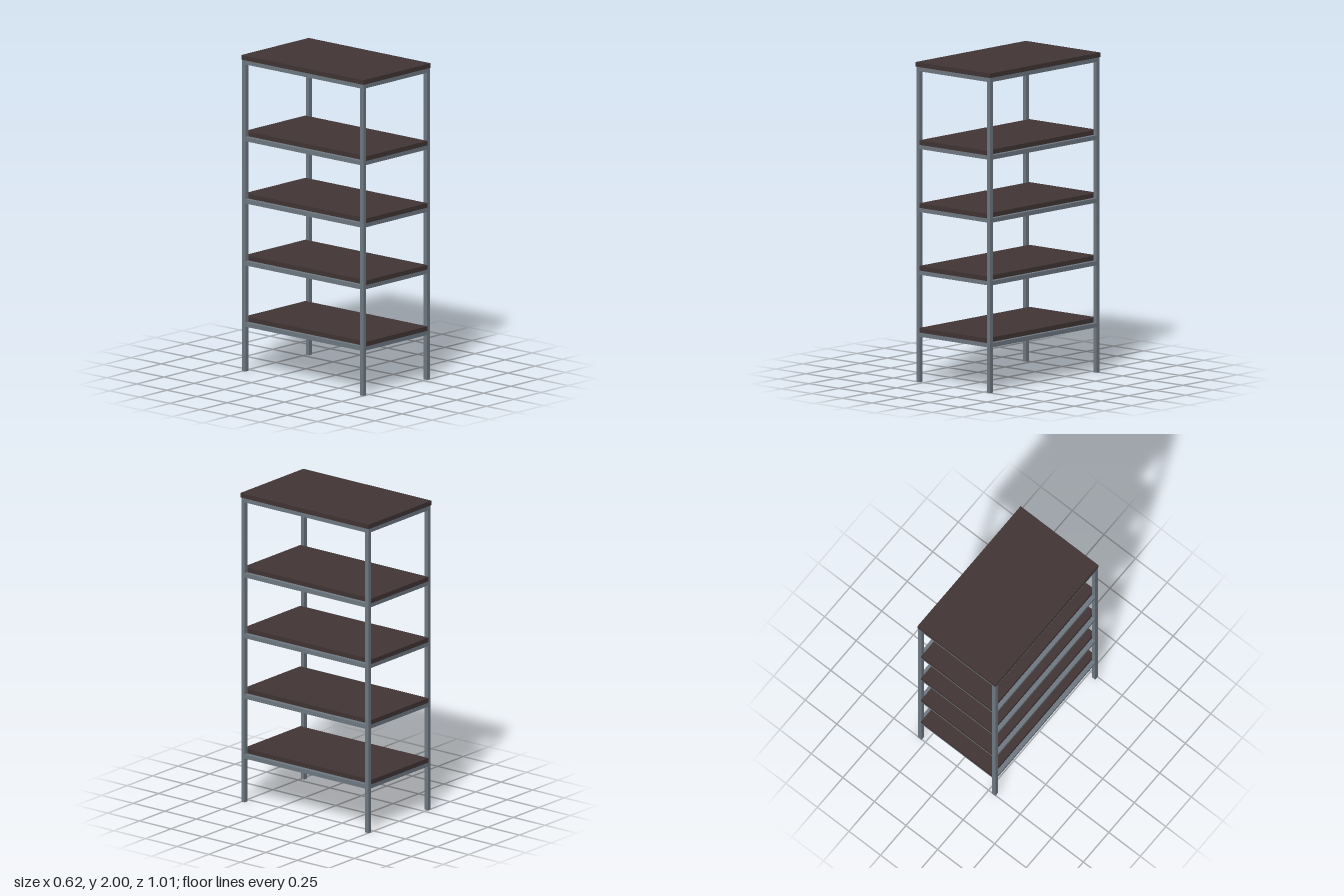
import * as THREE from 'three';

export function createModel() {
  const model = new THREE.Group();
  model.name = 'shelfUnit';

  const metal = new THREE.MeshStandardMaterial({ color: 0x707983 });
  metal.name = 'grey steel';
  const wood = new THREE.MeshStandardMaterial({ color: 0x423535 });
  wood.name = 'dark wood';

  // Box centred on x and z, standing on the given bottom height
  function box(name, material, w, h, d, x, bottom, z) {
    const mesh = new THREE.Mesh(new THREE.BoxGeometry(w, h, d), material);
    mesh.name = name;
    mesh.position.set(x, bottom + h / 2, z);
    model.add(mesh);
  }

  const tube = 0.027;      // square tube width
  const board = 0.029;     // board thickness
  const halfW = 0.306;     // outer frame half width
  const halfD = 0.503;     // outer frame half depth
  const postX = halfW - tube / 2;
  const postZ = halfD - tube / 2;
  const innerW = 2 * (halfW - tube);
  const innerD = 2 * (halfD - tube);
  const sides = [-1, 1];

  // Corner posts
  for (const sx of sides) {
    for (const sz of sides) {
      box('cornerPost', metal, tube, 2 - board, tube, sx * postX, 0, sz * postZ);
    }
  }

  // Shelf levels, given by the top of each board
  const tops = [0.34, 0.728, 1.12, 1.514, 2];
  tops.forEach((top, i) => {
    const railBottom = top - board - tube;
    for (const s of sides) {
      box('crossRail', metal, innerW, tube, tube, 0, railBottom, s * postZ);
      box('sideRail', metal, tube, tube, innerD, s * postX, railBottom, 0);
    }
    // The top board covers the posts; the others fit between them
    const isTop = i === tops.length - 1;
    box(isTop ? 'topBoard' : 'shelfBoard', wood,
      isTop ? 0.618 : innerW, board, 1.013, 0, top - board, 0);
  });

  return model;
}
